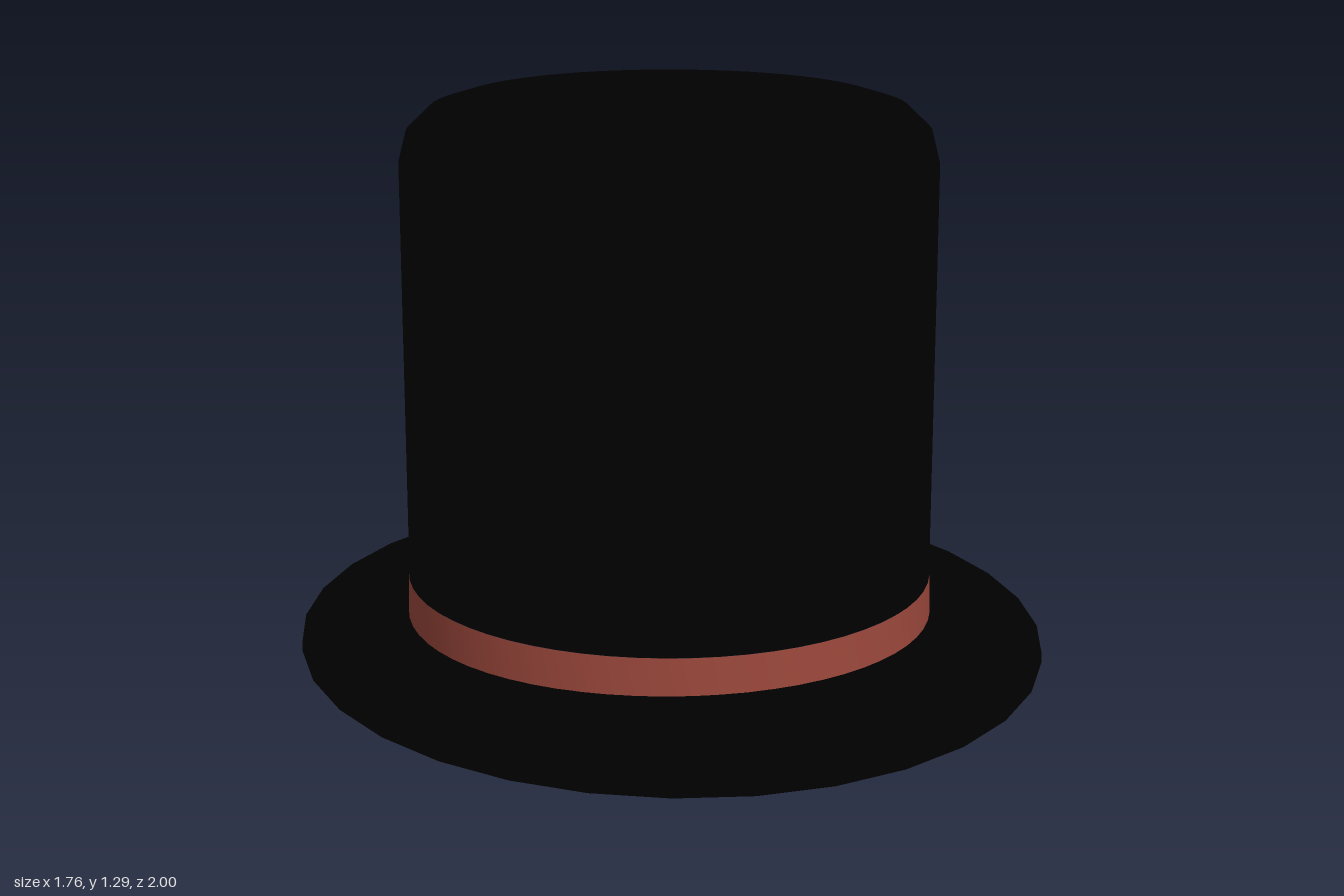
import * as THREE from 'three';
import { toCreasedNormals } from 'three/addons/utils/BufferGeometryUtils.js';

const felt = new THREE.MeshStandardMaterial({ color: 0x000000 });
const ribbon = new THREE.MeshStandardMaterial({ color: 0x9c483c });
const OVAL = 0.88; // width of the brim and head opening relative to their depth

// Turns a profile of [radius, height] points, counter-clockwise, around the y axis
function turned(name, profile, segments, material, widthScale = 1) {
  const points = profile.map(([r, y]) => new THREE.Vector2(r, y));
  const geometry = toCreasedNormals(new THREE.LatheGeometry(points, segments), 0.8);
  const mesh = new THREE.Mesh(geometry, material);
  mesh.name = name;
  mesh.scale.x = widthScale;
  return mesh;
}

export function createModel() {
  const hat = new THREE.Group();
  hat.name = 'topHat';

  // Oval brim, gently domed, from the head opening out and back to the crown
  hat.add(turned('brim', [
    [0.43, 0.07], [0.43, 0.03], [0.62, 0.03], [0.8, 0.02], [1, 0],
    [1, 0.02], [0.8, 0.06], [0.62, 0.074],
  ], 32, felt, OVAL));

  // Ribbon band outside, and its matching sweatband inside
  hat.add(turned('band', [[0.626, 0.06], [0.623, 0.16]], 64, ribbon));
  hat.add(turned('sweatband', [[0.425, 0.14], [0.43, 0.07]], 32, ribbon, OVAL));

  // Hollow crown with a rounded top edge
  hat.add(turned('crown', [
    [0.622, 0.16], [0.622, 1.15], [0.604, 1.22], [0.552, 1.27],
    [0.487, 1.29], [0, 1.29],
  ], 64, felt));
  hat.add(turned('crownLining', [[0, 1.1], [0.425, 1.1], [0.425, 0.14]], 32, felt, OVAL));

  return hat;
}
